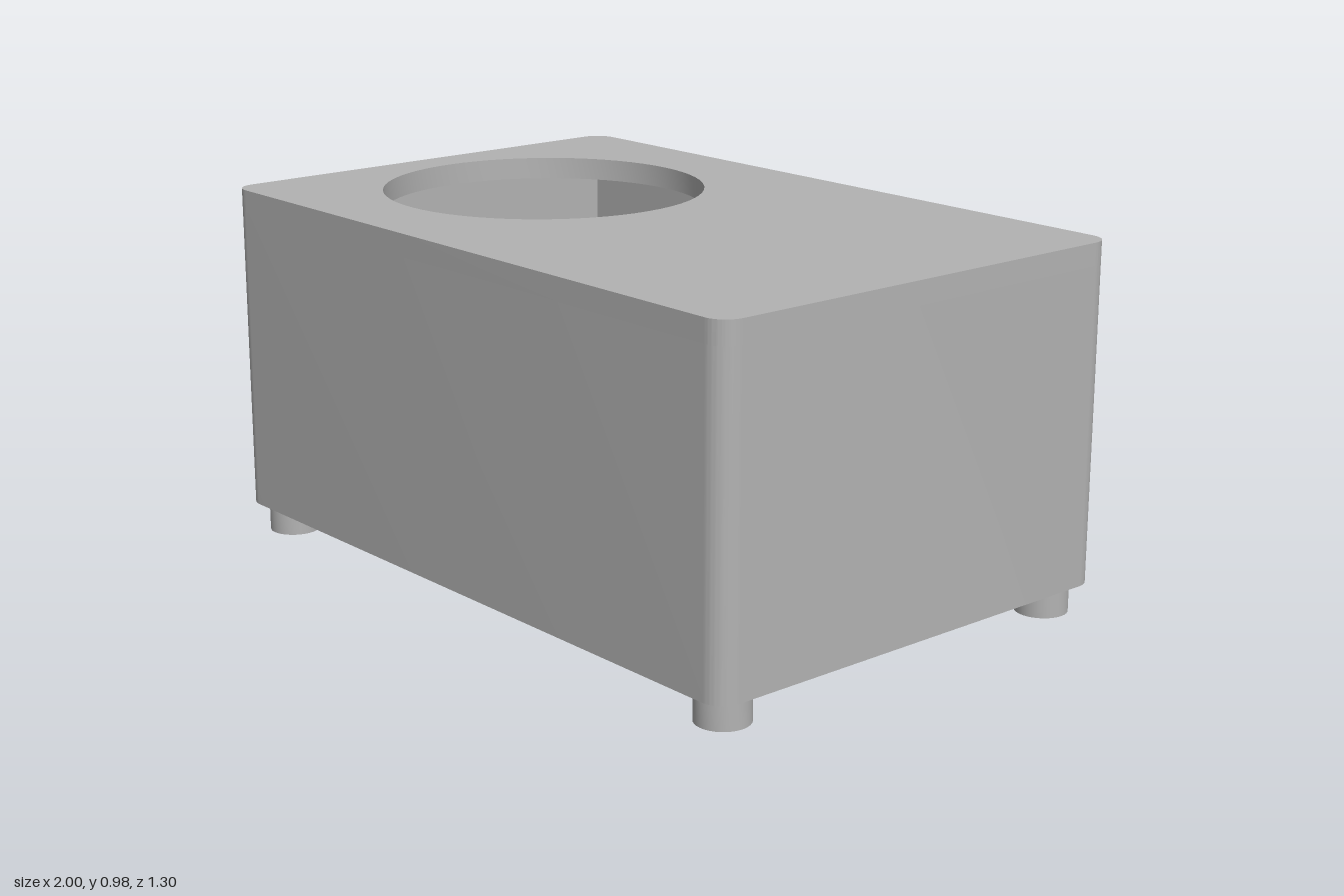
import * as THREE from 'three';
import { toCreasedNormals } from 'three/addons/utils/BufferGeometryUtils.js';

const HALF_X = 1, HALF_Z = 0.65, WALL = 0.06, CORNER = 0.06;
const BOTTOM = 0.08, TOP = 0.98, FAN_X = -0.45;

// Rectangle outline with optional rounded corners
function rectangle(hx, hz, r, Type = THREE.Shape) {
  const s = new Type();
  if (!r) {
    return s.setFromPoints([
      new THREE.Vector2(-hx, -hz), new THREE.Vector2(hx, -hz),
      new THREE.Vector2(hx, hz), new THREE.Vector2(-hx, hz), new THREE.Vector2(-hx, -hz),
    ]);
  }
  s.absarc(hx - r, hz - r, r, 0, Math.PI / 2);
  s.absarc(-hx + r, hz - r, r, Math.PI / 2, Math.PI);
  s.absarc(-hx + r, -hz + r, r, Math.PI, Math.PI * 1.5);
  s.absarc(hx - r, -hz + r, r, Math.PI * 1.5, Math.PI * 2);
  s.closePath();
  return s;
}

function circle(x, z, r) {
  const p = new THREE.Path();
  p.absarc(x, z, r, 0, Math.PI * 2, true);
  return p;
}

// Extrude a plan outline upwards from y0 to y1
function slab(shape, y0, y1, curveSegments) {
  const g = new THREE.ExtrudeGeometry(shape, { depth: y1 - y0, bevelEnabled: false, curveSegments });
  g.rotateX(-Math.PI / 2);
  g.translate(0, y0, 0);
  return toCreasedNormals(g, 0.6);
}

// Turned part with a blind hole, from a radius/height profile
function turned(points) {
  const g = new THREE.LatheGeometry(points.map(([r, y]) => new THREE.Vector2(r, y)), 32);
  return toCreasedNormals(g, 0.6);
}

export function createModel() {
  const group = new THREE.Group();
  const grey = new THREE.MeshStandardMaterial({ color: 0xb3b3b3 });
  grey.name = 'grey plastic';

  const add = (name, geometry, x = 0, y = 0, z = 0) => {
    const mesh = new THREE.Mesh(geometry, grey);
    mesh.name = name;
    mesh.position.set(x, y, z);
    group.add(mesh);
  };

  // Four walls with rounded outer and square inner corners
  const walls = rectangle(HALF_X, HALF_Z, CORNER);
  walls.holes.push(rectangle(HALF_X - WALL, HALF_Z - WALL, 0, THREE.Path));
  add('walls', slab(walls, BOTTOM, TOP - WALL, 8));

  // Top panel with the large round opening
  const top = rectangle(HALF_X, HALF_Z, CORNER);
  top.holes.push(circle(FAN_X, 0, 0.44));
  add('topPanel', slab(top, TOP - WALL, TOP, 32));

  // Inset floor with concentric rings of vent holes
  const gap = 0.004;
  const floor = rectangle(HALF_X - WALL - gap, HALF_Z - WALL - gap, 0);
  floor.holes.push(circle(FAN_X, 0, 0.028));
  for (let ring = 1; ring <= 3; ring++) {
    for (let i = 0; i < ring * 6; i++) {
      const a = (i / (ring * 6)) * Math.PI * 2;
      floor.holes.push(circle(FAN_X + ring * 0.1 * Math.cos(a), ring * 0.1 * Math.sin(a), 0.028));
    }
  }
  add('floor', slab(floor, BOTTOM, BOTTOM + WALL, 12));

  // Feet with screw holes underneath, and standoffs around the vent
  const foot = turned([[0, 0.06], [0.032, 0.06], [0.032, 0], [0.07, 0], [0.07, BOTTOM]]);
  const standoff = turned([[0.03, 0], [0.03, 0.06], [0.015, 0.06], [0.015, 0.005], [0, 0.005]]);
  for (const sx of [-1, 1]) {
    for (const sz of [-1, 1]) {
      add('foot', foot, sx * 0.905, 0, sz * 0.555);
      add('standoff', standoff, FAN_X + sx * 0.255, BOTTOM + WALL, sz * 0.255);
    }
  }
  return group;
}
